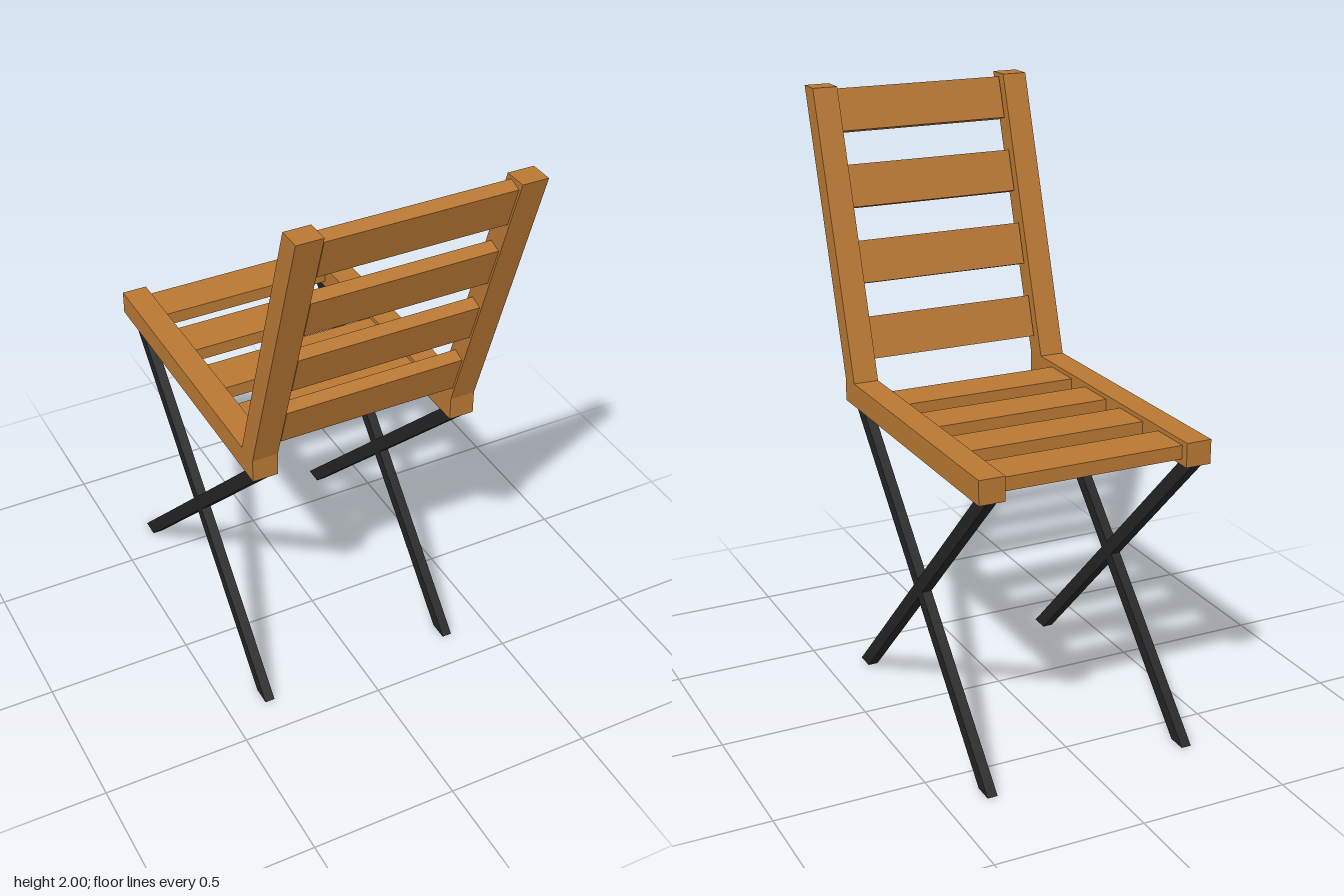
import * as THREE from 'three';

const wood = new THREE.MeshStandardMaterial({ color: 0xb87833 });
wood.name = 'wood';
const blackMetal = new THREE.MeshStandardMaterial({ color: 0x242424 });
blackMetal.name = 'blackMetal';

// Side profile given as [z, y] points, extruded to a width centred on x
function sideExtrude(name, points, x, width, material) {
  const shape = new THREE.Shape(points.map(([z, y]) => new THREE.Vector2(z, y)));
  const geometry = new THREE.ExtrudeGeometry(shape, { depth: width, bevelEnabled: false });
  geometry.translate(0, 0, -width / 2);
  geometry.rotateY(-Math.PI / 2);
  const mesh = new THREE.Mesh(geometry, material);
  mesh.name = name;
  mesh.position.x = x;
  return mesh;
}

function slat(name, width, height, depth, x, y, z, tilt = 0) {
  const mesh = new THREE.Mesh(new THREE.BoxGeometry(width, height, depth), wood);
  mesh.name = name;
  mesh.position.set(x, y, z);
  mesh.rotation.x = tilt;
  return mesh;
}

export function createModel() {
  const chair = new THREE.Group();
  chair.name = 'slattedChair';

  const seatRail = [[-0.675, 0.98], [0.375, 0.98], [0.375, 1.06], [-0.675, 1.06]];
  const backPost = [[0.298, 1.06], [0.375, 1.06], [0.68, 2], [0.602, 2]];
  const legToBack = [[-0.67, 0], [-0.605, 0], [0.373, 0.98], [0.308, 0.98]];
  const legToFront = [[0.31, 0], [0.375, 0], [-0.603, 0.98], [-0.668, 0.98]];

  // Side frames: L-shaped wood over crossed metal legs
  for (const [side, frameX, legX] of [['right', -0.352, -0.352], ['left', 0.349, 0.346]]) {
    chair.add(
      sideExtrude(side + 'SeatRail', seatRail, frameX, 0.086, wood),
      sideExtrude(side + 'BackPost', backPost, frameX, 0.086, wood),
      sideExtrude(side + 'LegToBack', legToBack, legX, 0.034, blackMetal),
      sideExtrude(side + 'LegToFront', legToFront, legX, 0.034, blackMetal),
    );
  }

  // Seat slats
  for (let i = 0; i < 4; i++) {
    chair.add(slat('seatSlat', 0.62, 0.045, 0.145, 0, 1.0225, -0.575 + i * 0.239));
  }

  // Backrest slats, following the lean of the posts
  const lean = Math.atan(0.305 / 0.94);
  for (let i = 0; i < 4; i++) {
    const y = 1.185 + i * 0.2435;
    const z = 0.343 + (y - 1.06) * Math.tan(lean);
    chair.add(slat('backSlat', 0.61, 0.143, 0.045, 0.003, y, z, lean));
  }
  return chair;
}
